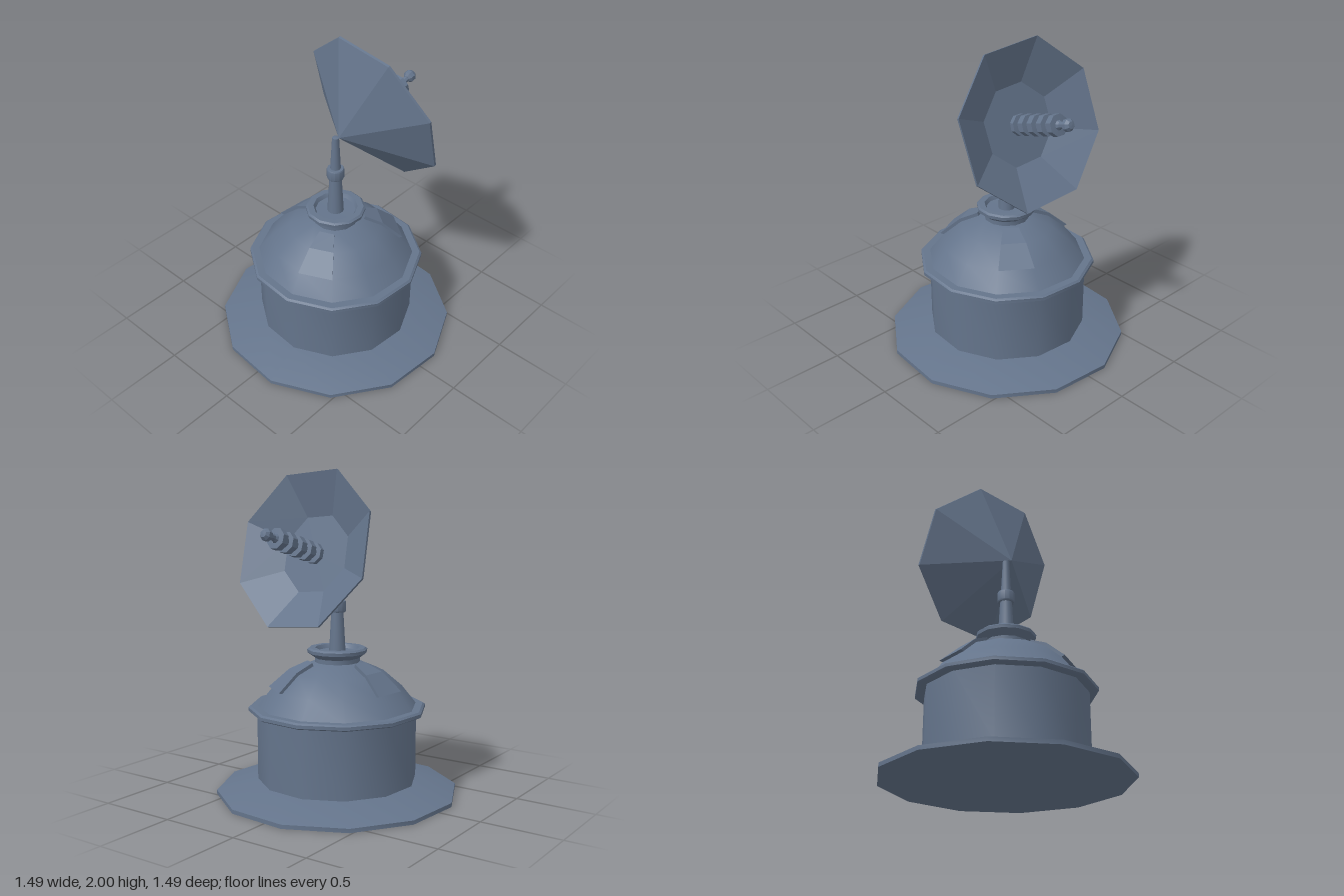
import * as THREE from 'three';
import { toCreasedNormals } from 'three/addons/utils/BufferGeometryUtils.js';

const rad = THREE.MathUtils.degToRad;
const slate = new THREE.MeshStandardMaterial({ color: 0x64748b });
slate.name = 'slate';

function part(name, geometry, crease = 0.6) {
  const mesh = new THREE.Mesh(toCreasedNormals(geometry, crease), slate);
  mesh.name = name;
  return mesh;
}

// Turned part from [radius, height] pairs
function turned(name, profile, sides = 12, startDeg = 10, crease = 0.6) {
  const points = profile.map(([r, y]) => new THREE.Vector2(r, y));
  return part(name, new THREE.LatheGeometry(points, sides, rad(startDeg)), crease);
}

// Solid through a row of four-cornered cross-sections, closed at both ends
function loft(sections) {
  const pos = [];
  const quad = (a, b, c, d) => [a, b, c, a, c, d].forEach((p) => pos.push(...p));
  for (let i = 0; i < sections.length - 1; i++) {
    const s = sections[i], t = sections[i + 1];
    for (let j = 0; j < 4; j++) {
      const k = (j + 1) % 4;
      quad(s[j], s[k], t[k], t[j]);
    }
  }
  const [a, b, c, d] = sections[0];
  quad(d, c, b, a);
  quad(...sections[sections.length - 1]);
  const geometry = new THREE.BufferGeometry();
  geometry.setAttribute('position', new THREE.Float32BufferAttribute(pos, 3));
  geometry.computeVertexNormals();
  return geometry;
}

export function createModel() {
  const model = new THREE.Group();
  model.name = 'dishStation';

  // Building
  model.add(
    turned('baseSkirt', [[0, 0], [0.755, 0], [0.755, 0.025], [0.495, 0.095], [0, 0.095]]),
    turned('drumWall', [[0.4975, 0.08], [0.4975, 0.54]]),
    turned('eaveRing', [[0.48, 0.522], [0.54, 0.522], [0.553, 0.53], [0.553, 0.55], [0.54, 0.56], [0.48, 0.56]]),
    turned('dome', [[0.4975, 0.555], [0.405, 0.672], [0.288, 0.772], [0.15, 0.83], [0, 0.84]]),
    turned('domeCollar', [[0.14, 0.81], [0.14, 0.858], [0.185, 0.89], [0.187, 0.91],
      [0.175, 0.92], [0.138, 0.92], [0.125, 0.895], [0, 0.89]]),
  );

  // Three raised panels, each covering one facet of the dome
  const stations = [
    [[0.425, 0.68], [0.39, 0.67]],
    [[0.298, 0.79], [0.28, 0.765]],
    [[0.185, 0.84], [0.175, 0.81]],
  ];
  for (let i = 0; i < 3; i++) {
    const mid = 35 + i * 120;
    const at = ([r, y], deg) => [r * Math.cos(rad(deg)), y, r * Math.sin(rad(deg))];
    const sections = stations.map(([outer, inner]) => [
      at(inner, mid - 14.9), at(inner, mid + 14.9), at(outer, mid + 14.9), at(outer, mid - 14.9),
    ]);
    model.add(part('domePanel', loft(sections), 0.3));
  }

  // Mast with its sleeve
  model.add(turned('mast', [[0.052, 0.88], [0.037, 1.15], [0.033, 1.2], [0.021, 1.43], [0, 1.435]], 12));
  model.add(turned('mastSleeve', [[0.03, 1.14], [0.05, 1.14], [0.054, 1.147], [0.054, 1.203],
    [0.05, 1.21], [0.03, 1.21]], 12));

  // Tilted dish head, its own +y pointing along the antenna
  const head = new THREE.Group();
  head.name = 'dishHead';
  const axis = new THREE.Vector3(1, 0.31, 0.08).normalize();
  const down = new THREE.Vector3().crossVectors(axis, new THREE.Vector3(0, 0, 1)).normalize();
  const side = new THREE.Vector3().crossVectors(down, axis);
  head.quaternion.setFromRotationMatrix(new THREE.Matrix4().makeBasis(down, axis, side));
  head.position.set(0.28, 1.54, 0.06);
  head.add(turned('dish', [[0, -0.308], [0.507, -0.014], [0.507, 0], [0.25, -0.13], [0, -0.13]], 8, 26.5, 0.1));

  // Antenna: core, five discs and an end knob
  head.add(turned('antennaCore', [[0.034, -0.14], [0.034, 0.225], [0.02, 0.25], [0.02, 0.31]], 8, 22.5, 0.1));
  for (let i = 0; i < 5; i++) {
    const t = -0.122 + i * 0.084;
    head.add(turned('antennaDisc', [[0.03, t - 0.023], [0.065, t - 0.021], [0.065, t + 0.021],
      [0.03, t + 0.023]], 8, 22.5, 0.1));
  }
  head.add(turned('antennaKnob', [[0, 0.278], [0.022, 0.282], [0.037, 0.298], [0.037, 0.322],
    [0.022, 0.34], [0, 0.342]], 8, 22.5, 0.1));
  model.add(head);
  return model;
}
